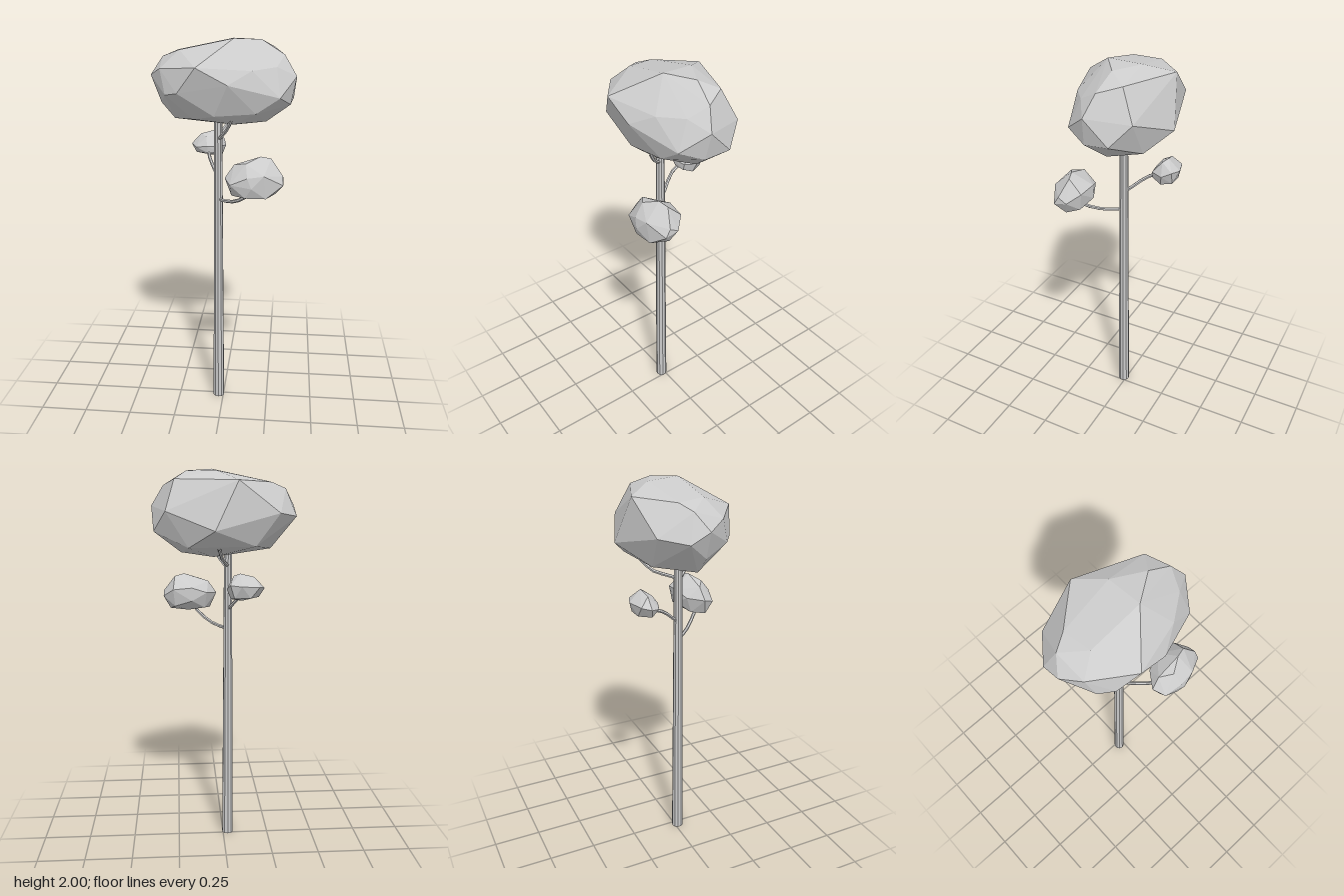
import * as THREE from 'three';
import { ConvexGeometry } from 'three/addons/geometries/ConvexGeometry.js';

const material = new THREE.MeshStandardMaterial({ color: 0xcccccc, flatShading: true });
const toVectors = (points) => points.map((p) => new THREE.Vector3(...p));

function addMesh(group, name, geometry) {
  const mesh = new THREE.Mesh(geometry, material);
  mesh.name = name;
  group.add(mesh);
  return mesh;
}

// Faceted leaf clump: the hull of a few corner points
const addFoliage = (group, name, points) =>
  addMesh(group, name, new ConvexGeometry(toVectors(points)));

// Thin bent branch growing out of the trunk
function addBranch(group, name, points) {
  const curve = new THREE.CatmullRomCurve3(toVectors(points));
  addMesh(group, name, new THREE.TubeGeometry(curve, 5, 0.009, 6));
}

export function createModel() {
  const tree = new THREE.Group();
  tree.name = 'tree';

  // Tall, slightly tapered trunk
  const trunk = addMesh(tree, 'trunk', new THREE.CylinderGeometry(0.021, 0.031, 1.62, 10));
  trunk.position.set(-0.026, 0.81, 0.015);

  // Branches, each ending inside its clump
  addBranch(tree, 'leftBranch', [[-0.026, 1.185, 0.015], [0.02, 1.19, 0.07], [0.075, 1.21, 0.13], [0.14, 1.265, 0.2], [0.16, 1.3, 0.21]]);
  addBranch(tree, 'backBranch', [[-0.026, 1.285, 0.015], [-0.045, 1.32, -0.03], [-0.08, 1.37, -0.09], [-0.095, 1.4, -0.16], [-0.1, 1.42, -0.2]]);
  addBranch(tree, 'frontCrownBranch', [[-0.026, 1.5, 0.015], [-0.005, 1.525, 0.05], [0.025, 1.565, 0.09], [0.05, 1.62, 0.125]]);
  addBranch(tree, 'backCrownBranch', [[-0.026, 1.515, 0.015], [-0.01, 1.535, -0.04], [0.01, 1.56, -0.105], [0.03, 1.62, -0.165]]);

  // Large crown: top, middle and bottom corners
  addFoliage(tree, 'crown', [
    [0.055, 2.0, 0.055], [0.185, 1.99, -0.035], [0.04, 1.99, -0.115], [-0.21, 1.945, 0.055],
    [-0.235, 1.935, -0.085], [0.245, 1.95, -0.12], [-0.06, 1.945, -0.24], [-0.31, 1.905, -0.045],
    [0.3, 1.92, -0.015], [0.265, 1.87, 0.08], [0.15, 1.86, 0.165], [-0.11, 1.88, 0.245],
    [-0.3, 1.86, 0.11], [-0.362, 1.82, 0.015], [-0.362, 1.77, -0.085], [-0.265, 1.79, -0.205],
    [0.055, 1.71, -0.287], [0.29, 1.8, -0.19], [0.35, 1.7, -0.1], [0.362, 1.82, 0.02],
    [0.285, 1.73, 0.14], [0.04, 1.8, 0.235], [-0.205, 1.755, 0.2], [-0.27, 1.74, 0.15],
    [0.335, 1.685, 0.03], [0.17, 1.655, 0.15], [-0.03, 1.645, 0.18], [-0.31, 1.685, 0.02],
    [-0.245, 1.605, 0.01], [-0.14, 1.62, 0.12], [0.215, 1.59, -0.02], [0.05, 1.567, -0.04],
    [0.18, 1.625, -0.19], [-0.15, 1.63, -0.18], [0.06, 1.595, 0.1],
  ]);

  // Lower clump in front on the left
  addFoliage(tree, 'leftFoliage', [
    [0.2, 1.457, 0.185], [0.25, 1.445, 0.17], [0.07, 1.415, 0.19], [0.13, 1.43, 0.23],
    [0.22, 1.38, 0.272], [0.14, 1.37, 0.28], [0.025, 1.35, 0.2], [0.055, 1.33, 0.262],
    [0.16, 1.32, 0.287], [0.31, 1.365, 0.2], [0.312, 1.325, 0.225], [0.312, 1.34, 0.155],
    [0.26, 1.38, 0.1], [0.16, 1.39, 0.09], [0.08, 1.36, 0.12], [0.16, 1.32, 0.088],
    [0.275, 1.27, 0.18], [0.23, 1.265, 0.26], [0.13, 1.268, 0.27], [0.06, 1.267, 0.22],
    [0.09, 1.275, 0.15], [0.18, 1.262, 0.16], [0.25, 1.29, 0.115],
  ]);

  // Small clump behind on the right
  addFoliage(tree, 'backFoliage', [
    [-0.07, 1.503, -0.21], [-0.14, 1.485, -0.2], [-0.04, 1.49, -0.19], [-0.11, 1.475, -0.165],
    [-0.192, 1.43, -0.2], [-0.165, 1.44, -0.245], [-0.075, 1.445, -0.27], [-0.02, 1.45, -0.25],
    [-0.005, 1.425, -0.2], [-0.03, 1.43, -0.14], [-0.1, 1.43, -0.13], [-0.16, 1.42, -0.15],
    [-0.165, 1.385, -0.19], [-0.12, 1.385, -0.245], [-0.04, 1.385, -0.245], [-0.025, 1.375, -0.19],
    [-0.08, 1.368, -0.2], [-0.1, 1.393, -0.135], [-0.04, 1.395, -0.14],
  ]);

  return tree;
}
